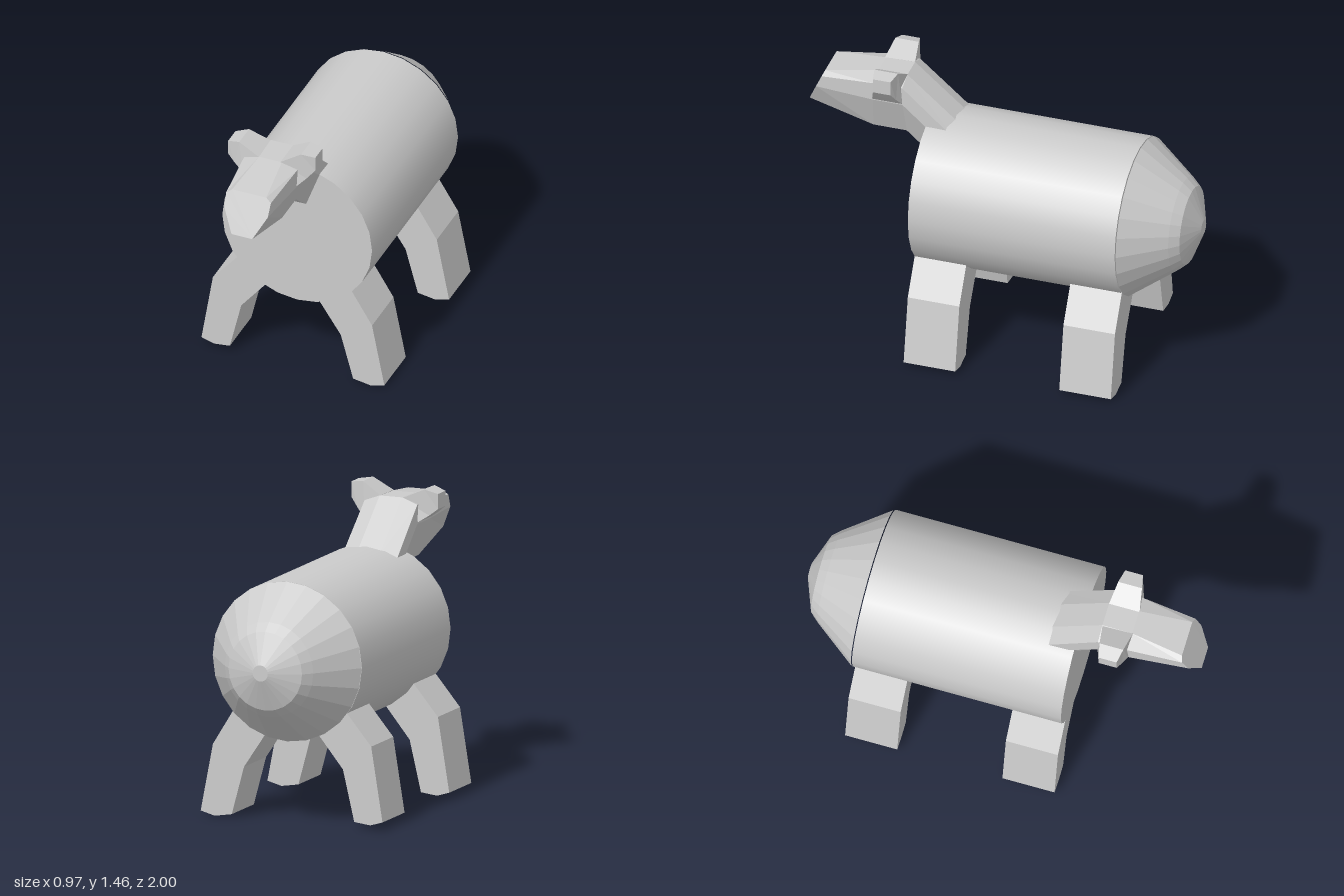
import * as THREE from 'three';

const flat = new THREE.MeshStandardMaterial({ color: 0xcccccc, flatShading: true });
const smooth = new THREE.MeshStandardMaterial({ color: 0xcccccc });

// Closed skin through rings of [x, y, z] points, each anticlockwise seen from the last ring's end
function loft(rings) {
  const n = rings[0].length;
  const index = [];
  for (let s = 0; s < rings.length - 1; s++) {
    for (let i = 0; i < n; i++) {
      const a = s * n + i, b = s * n + (i + 1) % n;
      index.push(a, b, b + n, a, b + n, a + n);
    }
  }
  const last = (rings.length - 1) * n;
  for (let i = 1; i < n - 1; i++) {
    index.push(0, i + 1, i, last, last + i, last + i + 1);
  }
  const geo = new THREE.BufferGeometry();
  geo.setAttribute('position', new THREE.Float32BufferAttribute(rings.flat(2), 3));
  geo.setIndex(index);
  const out = geo.toNonIndexed();
  out.computeVertexNormals();
  return out;
}

// Mirrored head ring from the bottom, side, shoulder and top points
function headRing(half) {
  const left = half.map(([x, y, z]) => [-x, y, z]).reverse();
  return [...half, ...left];
}

// Four-cornered ear ring between a top and a bottom point
function earRing([tx, ty], [bx, by], halfDepth, side) {
  const z = 0.577;
  const ring = [
    [tx, ty, z - halfDepth], [tx, ty, z + halfDepth],
    [bx, by, z + halfDepth], [bx, by, z - halfDepth],
  ];
  return side > 0 ? ring : ring.reverse();
}

export function createModel() {
  const group = new THREE.Group();
  const add = (name, geometry, material = flat) => {
    const mesh = new THREE.Mesh(geometry, material);
    mesh.name = name;
    group.add(mesh);
    return mesh;
  };
  const cx = 0.02, cy = 0.795, r = 0.395;

  // Barrel body
  const body = new THREE.CylinderGeometry(r, r, 1.055, 24);
  body.rotateX(Math.PI / 2).translate(cx, cy, -0.1475);
  add('body', body, smooth);

  // Rounded rump, closed by a small flat end
  const profile = [[0, 0.32], [0.04, 0.32], [0.195, 0.26], [0.235, 0.215], [r, 0]]
    .map(([x, y]) => new THREE.Vector2(x, y)).reverse();
  const rump = new THREE.LatheGeometry(profile, 24);
  rump.rotateX(-Math.PI / 2).translate(cx, cy, -0.68);
  add('rump', rump);

  // Bent legs, two profiles each used front and back
  const legs = {
    Right: [[-0.2, 0.68], [-0.3, 0.56], [-0.425, 0.41], [-0.485, 0.04], [-0.42, 0.02],
      [-0.335, 0.03], [-0.275, 0.285], [-0.15, 0.44], [-0.08, 0.52]],
    Left: [[0.22, 0.66], [0.31, 0.525], [0.415, 0.355], [0.48, 0.02], [0.405, 0],
      [0.315, 0.015], [0.25, 0.255], [0.14, 0.42], [0.08, 0.5]],
  };
  for (const [side, points] of Object.entries(legs)) {
    const shape = new THREE.Shape(points.map(([x, y]) => new THREE.Vector2(x, y)));
    for (const [end, z] of [['front', 0.117], ['back', -0.677]]) {
      const leg = new THREE.ExtrudeGeometry(shape, { depth: 0.263, bevelEnabled: false });
      add(`${end}${side}Leg`, leg.translate(0, 0, z));
    }
  }

  // Neck, skull and muzzle in one skin
  const head = loft([
    [[0.075, 0.84, 0.22], [0.145, 1.03, 0.22], [0.145, 1.12, 0.22], [0.06, 1.155, 0.22]],
    [[0.07, 1.08, 0.5], [0.14, 1.27, 0.5], [0.14, 1.365, 0.5], [0.06, 1.395, 0.5]],
    [[0.07, 1.08, 0.67], [0.14, 1.27, 0.65], [0.14, 1.365, 0.65], [0.06, 1.392, 0.65]],
    [[0.055, 1.16, 1], [0.115, 1.272, 0.949], [0.118, 1.337, 0.919], [0.09, 1.357, 0.91]],
  ].map(headRing));
  add('head', head.translate(-0.005, 0, 0));

  // Stubby ears
  const depths = [0.077, 0.06, 0.045];
  const ears = {
    leftEar: [[[0.05, 1.395], [0.135, 1.275]], [[0.15, 1.455], [0.18, 1.322]], [[0.22, 1.445], [0.22, 1.37]]],
    rightEar: [[[-0.06, 1.39], [-0.15, 1.28]], [[-0.175, 1.44], [-0.2, 1.313]], [[-0.24, 1.42], [-0.24, 1.345]]],
  };
  for (const [name, rings] of Object.entries(ears)) {
    const side = Math.sign(rings[0][0][0]);
    add(name, loft(rings.map(([top, bottom], i) => earRing(top, bottom, depths[i], side))));
  }

  return group;
}
